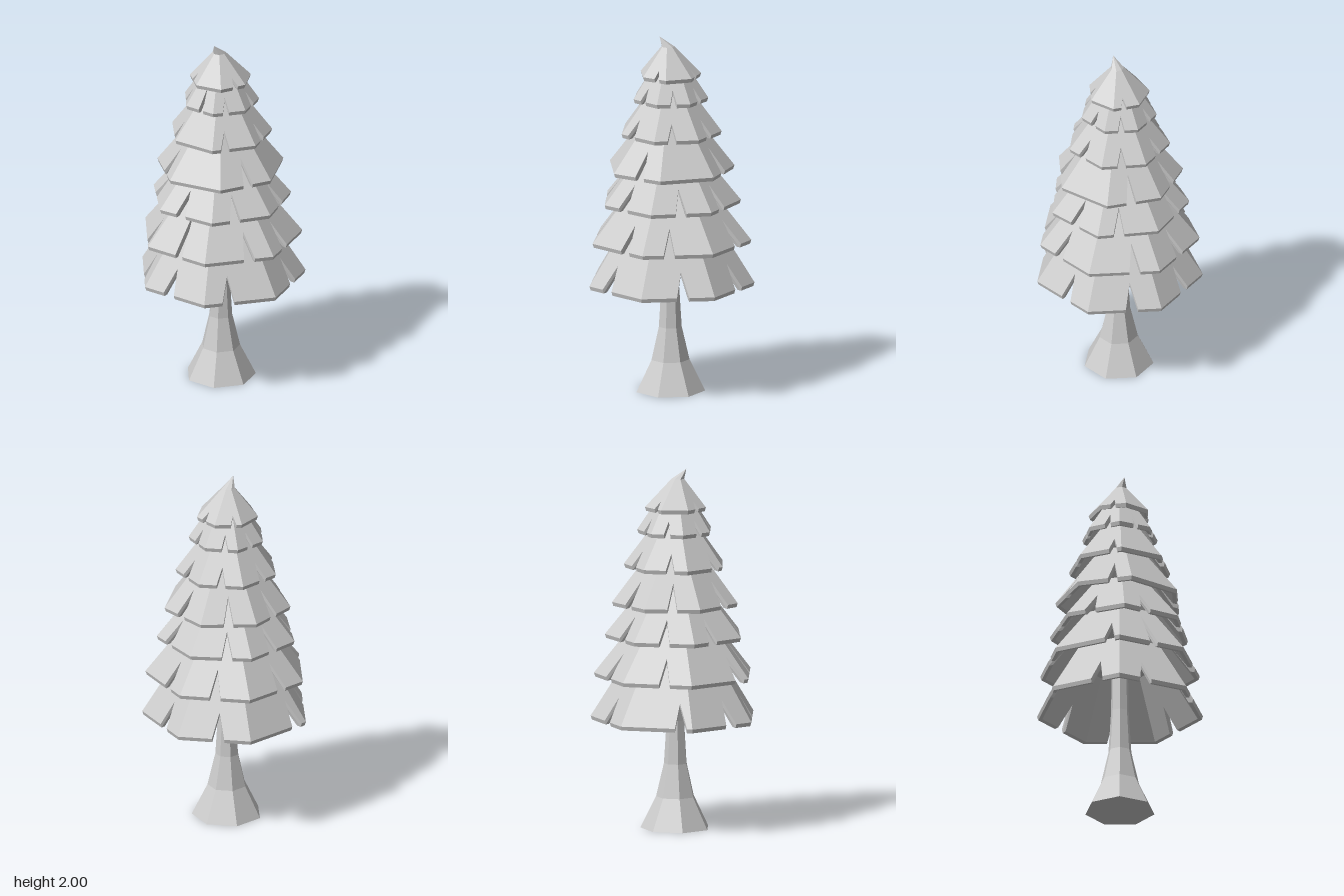
import * as THREE from 'three';

const SIDES = 7;
const AXIS_Z = 0.02; // the trunk axis sits slightly forward

// y, r: lower edge; topY, topR: upper edge; twist in degrees
// cut: notch half width and height; at: notch positions counted in sides
const TIERS = [
  { y: 0.6, r: 0.468, topY: 0.93, topR: 0.275, twist: 0, cut: [0.085, 0.13],
    at: [0.4, 1.43, 2.66, 3.6, 4.34, 5.16, 6.45] },
  { y: 0.84, r: 0.45, topY: 1.14, topR: 0.23, twist: 0, cut: [0.08, 0.13], slot: 0.22,
    at: [0.35, 1.62, 2.35, 3.46, 4.15, 5.4, 6.5] },
  { y: 1.06, r: 0.39, topY: 1.34, topR: 0.18, twist: -4, cut: [0.09, 0.12],
    at: [0.65, 1.5, 2.6, 3.6, 4.6, 5.5, 6.4] },
  { y: 1.245, r: 0.355, topY: 1.54, topR: 0.145, twist: -11, cut: [0.09, 0.13],
    at: [0.55, 2.45, 4.35, 5.5, 6.5] },
  { y: 1.45, r: 0.285, topY: 1.72, topR: 0.1, twist: -2, cut: [0.1, 0.085],
    at: [0.55, 1.6, 2.7, 4.2, 5.4, 6.5] },
  { y: 1.64, r: 0.212, topY: 1.83, topR: 0.1, twist: 0, cut: [0.1, 0.07], slot: 0.11,
    at: [0.5, 1.5, 2.6, 3.46, 4.4, 5.5, 6.4] },
  { y: 1.77, r: 0.172, topY: 1.945, topR: 0.036, twist: -12, cut: [0.1, 0.04], bent: true,
    at: [0.6, 2.4, 4.5, 6.3] },
];

// Point on a seven-sided ring; s counts corners from the back towards +x
function ringPoint(s, radius, y, twist, dz) {
  const corner = (k) => {
    const a = THREE.MathUtils.degToRad(twist) + (k * 2 * Math.PI) / SIDES;
    return new THREE.Vector3(radius * Math.sin(a), y, AXIS_Z + dz - radius * Math.cos(a));
  };
  const k = Math.floor(s);
  return corner(k).lerp(corner(k + 1), s - k);
}

// Hollow skirt of shingles with a bevelled, notched lower edge
function tierGeometry({ y, r, topY, topR, twist, cut, at, slot, bent }) {
  const lip = 0.022;
  const wall = Math.min(0.03, r * 0.12);
  const topZ = bent ? 0.012 : 0;
  const [halfWidth, height] = cut;

  // Each notch is a V; the front one may be a taller slot
  const notches = at.map((s) => {
    const tall = slot && Math.floor(s) === 3;
    return { s, w: tall ? halfWidth * 0.75 : halfWidth, h: tall ? slot : height };
  });
  const rise = (s) => Math.max(0, ...notches.map((n) => n.h * (1 - Math.abs(s - n.s) / n.w)));

  // Break the ring at every corner and notch point
  const breaks = new Set(Array.from({ length: SIDES + 1 }, (_, k) => k));
  notches.forEach(({ s, w }) => [s - w, s, s + w].forEach((b) => breaks.add(b)));
  const stops = [...breaks].sort((a, b) => a - b);

  // Cross-section from the upper rim, round the lower edge, to the ceiling
  const section = (s) => {
    const low = y + rise(s);
    const t = rise(s) / (topY - y - lip);
    const radius = THREE.MathUtils.lerp(r, topR, t);
    return [
      ringPoint(s, topR, topY, twist, topZ),
      ringPoint(s, radius, low + lip, twist, topZ * t),
      ringPoint(s, radius - 0.007, low, twist, topZ * t),
      ringPoint(s, radius - wall, low + 0.004, twist, topZ * t),
      ringPoint(s, topR - wall, topY - 0.02, twist, topZ),
    ];
  };

  const ceiling = new THREE.Vector3(0, topY - 0.02, AXIS_Z + topZ);
  const peak = bent
    ? new THREE.Vector3(0, 2, AXIS_Z + 0.058)
    : new THREE.Vector3(0, topY, AXIS_Z);
  const triangles = [];
  for (let i = 0; i < stops.length - 1; i++) {
    const a = section(stops[i]);
    const b = section(stops[i + 1]);
    for (let j = 0; j < a.length - 1; j++) {
      triangles.push(a[j], b[j], b[j + 1], a[j], b[j + 1], a[j + 1]);
    }
    triangles.push(a[0], peak, b[0], a[4], b[4], ceiling);
  }
  const geometry = new THREE.BufferGeometry().setFromPoints(triangles);
  geometry.computeVertexNormals();
  return geometry;
}

// Flared seven-sided trunk
function trunkGeometry() {
  const profile = [[0, 0], [0.195, 0], [0.108, 0.175], [0.065, 0.36], [0.05, 0.6], [0.045, 0.92]]
    .map(([x, y]) => new THREE.Vector2(x, y));
  const geometry = new THREE.LatheGeometry(profile, SIDES, Math.PI).toNonIndexed();
  geometry.translate(0, 0, AXIS_Z);
  geometry.computeVertexNormals();
  return geometry;
}

export function createModel() {
  const model = new THREE.Group();
  model.name = 'pineTree';
  const grey = new THREE.MeshStandardMaterial({ color: 0xcccccc });
  grey.name = 'lightGrey';

  const add = (name, geometry) => {
    const mesh = new THREE.Mesh(geometry, grey);
    mesh.name = name;
    model.add(mesh);
  };
  add('trunk', trunkGeometry());
  TIERS.forEach((tier, i) => add(tier.bent ? 'treeTop' : `branchTier${i + 1}`, tierGeometry(tier)));
  return model;
}
